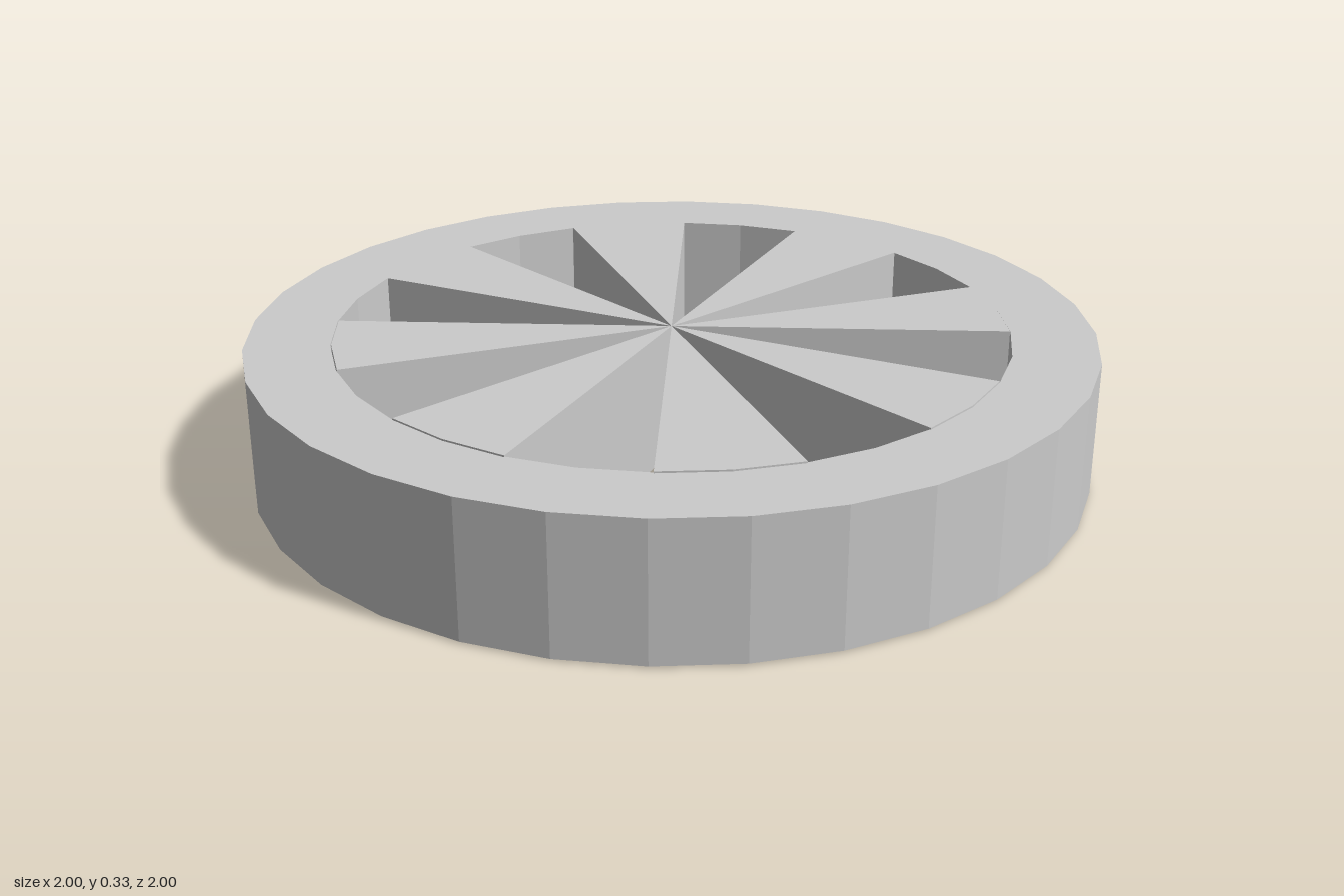
import * as THREE from 'three';

const polar = (r, a) => new THREE.Vector2(r * Math.cos(a), r * Math.sin(a));
const STEP = Math.PI / 16; // 32-sided wheel

// Lays a flat shape on the ground and raises it from y0 to y1.
function slab(shape, y0, y1) {
  const geometry = new THREE.ExtrudeGeometry(shape, { depth: y1 - y0, bevelEnabled: false });
  return geometry.rotateX(-Math.PI / 2).translate(0, y0, 0);
}

export function createModel() {
  const model = new THREE.Group();
  model.name = 'spokedWheel';
  const material = new THREE.MeshStandardMaterial({ color: 0xcccccc, flatShading: true });

  // Rim
  const circle = (r) => Array.from({ length: 32 }, (_, i) => polar(r, i * STEP));
  const rimShape = new THREE.Shape(circle(1));
  rimShape.holes.push(new THREE.Path(circle(0.8)));
  const rim = new THREE.Mesh(slab(rimShape, 0.004, 0.326), material);
  rim.name = 'rim';
  model.add(rim);

  // Eight wedge spokes meeting at the centre, set very slightly off the rim's axis
  const spokes = new THREE.Group();
  spokes.name = 'spokes';
  spokes.position.set(-0.003, 0, 0.006);
  const wedge = new THREE.Shape([new THREE.Vector2(0, 0), ...[1, 2, 3].map((i) => polar(0.797, i * STEP))]);
  const wedgeGeometry = slab(wedge, 0, 0.33);
  for (let i = 0; i < 8; i++) {
    const spoke = new THREE.Mesh(wedgeGeometry, material);
    spoke.name = 'spoke' + (i + 1);
    spoke.rotation.y = (i * Math.PI) / 4;
    spokes.add(spoke);
  }
  model.add(spokes);
  return model;
}
